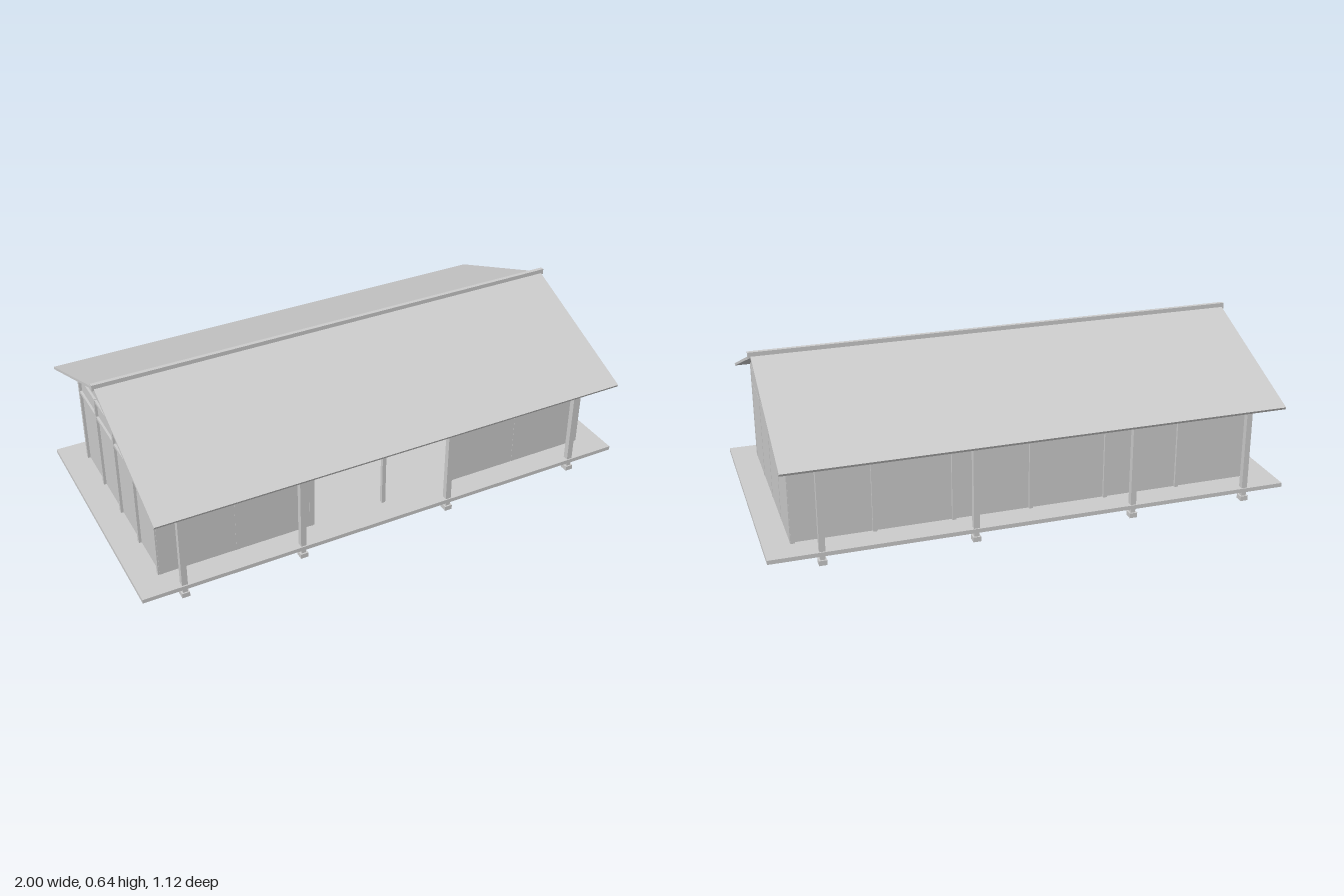
import * as THREE from 'three';

const material = new THREE.MeshStandardMaterial({ color: 0xcccccc, flatShading: true });

export function createModel() {
  const model = new THREE.Group();
  const add = (name, geometry) => {
    const mesh = new THREE.Mesh(geometry, material);
    mesh.name = name;
    model.add(mesh);
    return mesh;
  };
  // Box given by its extents on each axis
  const box = (name, x0, x1, y0, y1, z0, z1) => {
    const mesh = add(name, new THREE.BoxGeometry(x1 - x0, y1 - y0, z1 - z0));
    mesh.position.set((x0 + x1) / 2, (y0 + y1) / 2, (z0 + z1) / 2);
    return mesh;
  };
  // Symmetric z-y outline extruded along x
  const extrudeX = (name, points, x0, x1) => {
    const shape = new THREE.Shape(points.map(([z, y]) => new THREE.Vector2(z, y)));
    const geometry = new THREE.ExtrudeGeometry(shape, { depth: x1 - x0, bevelEnabled: false });
    geometry.rotateY(Math.PI / 2).translate(x0, 0, 0);
    return add(name, geometry);
  };

  const floorTop = 0.052, wallTop = 0.448, railY = 0.365;

  // Deck
  box('floor', -1, 1, 0.036, floorTop, -0.5, 0.5);

  // Gabled roof and ridge cap
  extrudeX('roof', [[-0.56, 0.399], [-0.556, 0.39], [0, 0.616], [0.556, 0.39], [0.56, 0.399], [0, 0.627]], -0.952, 0.946);
  box('ridgeCap', -0.96, 0.956, 0.617, 0.64, -0.008, 0.008);

  // Veranda posts with foot stones and ties back to the wall
  for (const x of [-0.84, -0.375, 0.24, 0.805]) {
    for (const s of [-1, 1]) {
      const z = s * 0.484;
      box('verandaPost', x - 0.011, x + 0.011, floorTop, 0.421, z - 0.011, z + 0.011);
      box('postNeck', x - 0.009, x + 0.009, 0.018, 0.036, z - 0.01, z + 0.01);
      box('footStone', x - 0.015, x + 0.015, 0, 0.019, z - 0.016, z + 0.016);
      const tie = box('verandaTie', x - 0.009, x + 0.009, 0.418, 0.422, 0.4, 0.49);
      tie.position.z *= s;
    }
  }

  // Gable walls: the left one is flush outside, the right one shows its frame
  const gable = [[-0.4, floorTop], [0.4, floorTop], [0.4, 0.452], [0, 0.617], [-0.4, 0.452]];
  extrudeX('leftGableWall', gable, 0.892, 0.902);
  extrudeX('rightGableWall', gable, -0.895, -0.887);

  // Long walls, the front one open in the middle under a lintel
  box('backWall', -0.895, 0.9, floorTop, 0.452, -0.394, -0.386);
  box('frontWallRight', -0.9, -0.285, floorTop, wallTop, 0.393, 0.402);
  box('frontWallLeft', 0.3, 0.9, floorTop, wallTop, 0.393, 0.402);
  box('frontLintel', -0.285, 0.3, railY, wallTop, 0.393, 0.402);

  // Studs of the long walls, and the pads beneath them
  const pad = (x, z) => {
    add('floorPad', new THREE.CylinderGeometry(0.011, 0.011, 0.004, 10)).position.set(x, 0.035, z);
  };
  for (let i = -3; i <= 3; i++) {
    const x = i * 0.2975;
    const x0 = i === 0 ? 0 : x - 0.0075;
    box('frontStud', x0, x0 + 0.015, floorTop, wallTop, 0.388, 0.403);
    box('backStud', x - 0.0075, x + 0.0075, floorTop, wallTop, -0.404, -0.389);
    pad(x, 0.396);
    pad(x, -0.396);
  }

  // Studs of the gable walls
  for (let i = -2; i <= 2; i++) {
    const z = i * 0.197;
    const top = 0.61 - Math.abs(z) * 0.407;
    box('rightStud', -0.905, -0.89, floorTop, Math.min(top, wallTop), z - 0.0075, z + 0.0075);
    box('leftStud', 0.888, 0.903, floorTop, Math.min(top, wallTop), z - 0.0075, z + 0.0075);
    if (Math.abs(i) < 2) {
      pad(-0.896, z);
      pad(0.894, z);
    }
  }

  // Middle rails and top plates around the frame
  for (const y of [railY, 0.44]) {
    box('backRail', -0.9, 0.9, y - 0.006, y + 0.006, -0.403, -0.39);
    box('rightRail', -0.904, -0.89, y - 0.006, y + 0.006, -0.4, 0.4);
    box('leftRail', 0.889, 0.9026, y - 0.006, y + 0.006, -0.4, 0.4);
  }
  return model;
}
